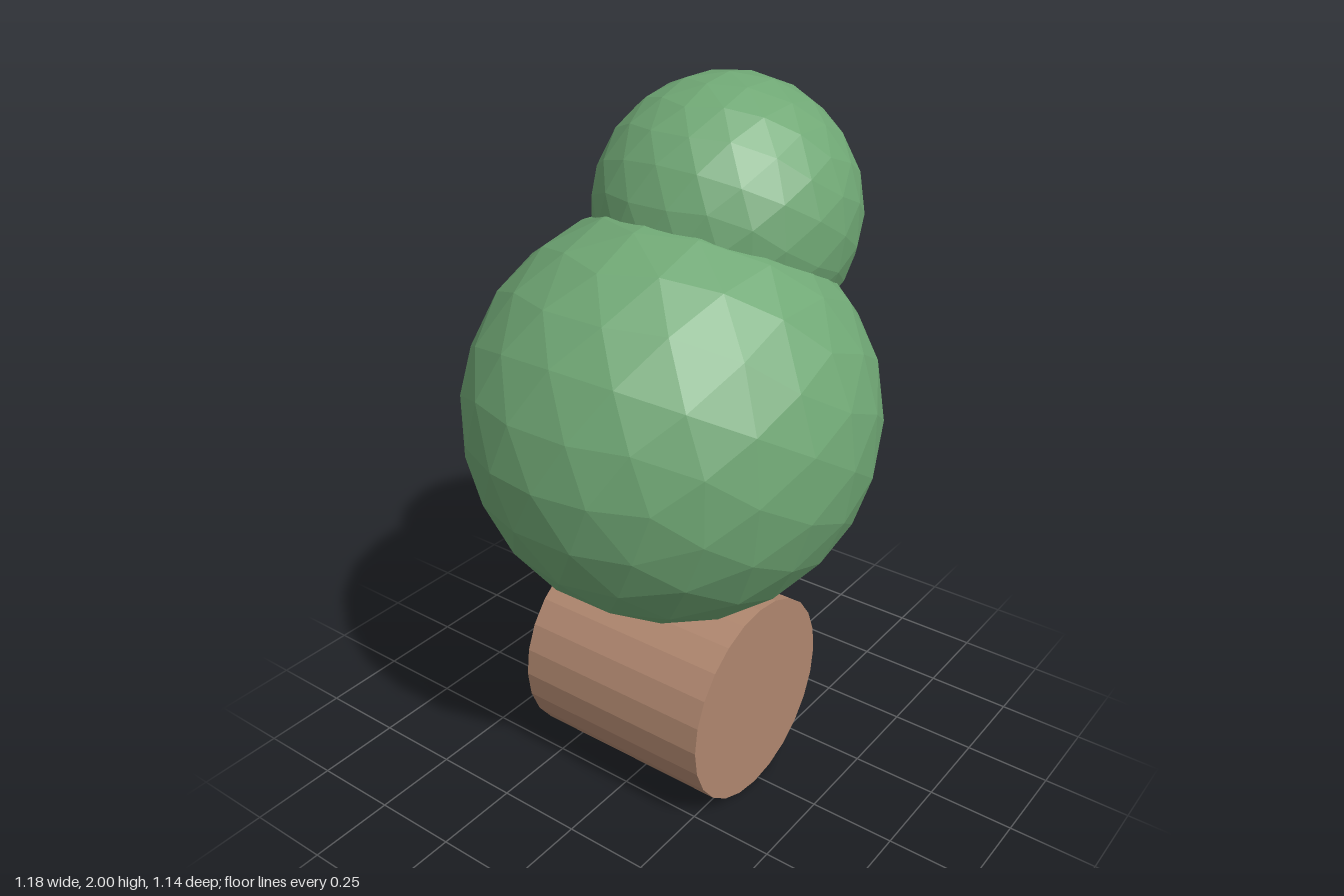
import * as THREE from 'three';

// Faceted ball: an icosahedron whose edges are halved and pushed out to the sphere
function icoBall(radius, levels) {
  let tri = new THREE.IcosahedronGeometry(1, 0).getAttribute('position');
  let pts = [];
  for (let i = 0; i < tri.count; i++) pts.push(new THREE.Vector3().fromBufferAttribute(tri, i));
  const mid = (a, b) => a.clone().add(b).normalize();
  for (let l = 0; l < levels; l++) {
    const next = [];
    for (let i = 0; i < pts.length; i += 3) {
      const [a, b, c] = pts.slice(i, i + 3);
      const ab = mid(a, b), bc = mid(b, c), ca = mid(c, a);
      next.push(a, ab, ca, ab, b, bc, ca, bc, c, ab, bc, ca);
    }
    pts = next;
  }
  const geo = new THREE.BufferGeometry().setFromPoints(pts);
  geo.scale(radius, radius, radius);
  geo.computeVertexNormals();
  return geo;
}

export function createModel() {
  const leaf = new THREE.MeshStandardMaterial({ color: 0x70a875, flatShading: true });
  leaf.name = 'leaf green';
  const bark = new THREE.MeshStandardMaterial({ color: 0xb0876f, flatShading: true });
  bark.name = 'bark brown';

  const tree = new THREE.Group();
  tree.name = 'tree';
  const add = (name, geo, mat, x, y) => {
    const mesh = new THREE.Mesh(geo, mat);
    mesh.name = name;
    mesh.position.set(x, y, 0);
    tree.add(mesh);
    return mesh;
  };

  // Short log lying along z, with the foliage resting on it
  const trunk = add('trunk', new THREE.CylinderGeometry(0.305, 0.305, 0.61, 24), bark, -0.02, 0.305);
  trunk.rotation.x = Math.PI / 2;

  // Foliage
  add('mainFoliage', icoBall(0.57, 2), leaf, -0.02, 1.13);
  add('upperFoliage', icoBall(0.365, 2), leaf, 0.225, 1.635);

  return tree;
}
